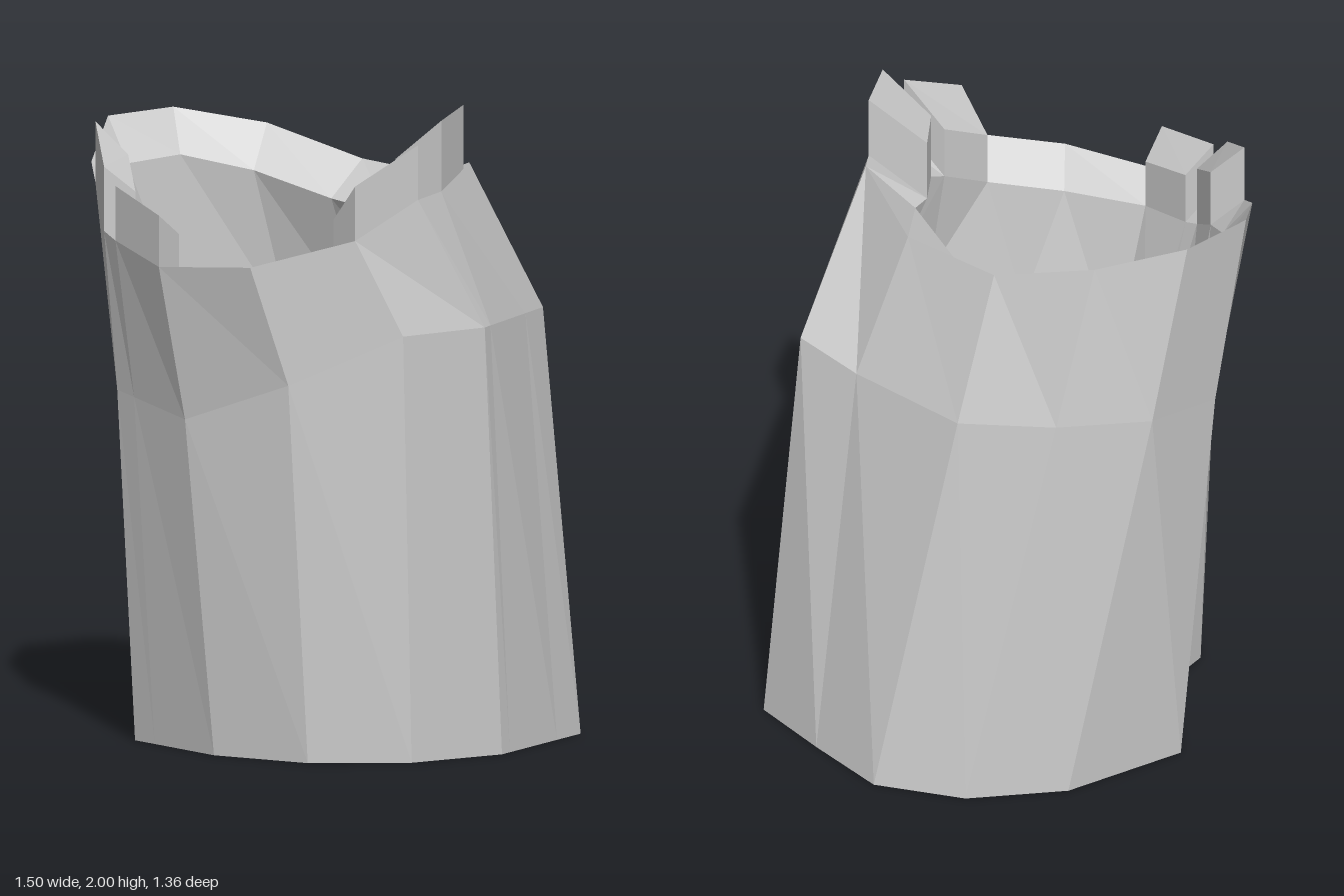
import * as THREE from 'three';

// Thirteen wall columns, clockwise seen from above, starting at the front left.
// Foot of each column: outer x, z, inner x, z
const FOOT = [
  [0.38, 0.5, 0.32, 0.36], [0.07, 0.58, 0.07, 0.45], [-0.25, 0.48, -0.19, 0.38],
  [-0.56, 0.22, -0.37, 0.2], [-0.49, 0.085, -0.4, 0.08], [-0.5, -0.13, -0.43, -0.06],
  [-0.56, -0.34, -0.37, -0.3], [-0.24, -0.6, -0.2, -0.45], [0.07, -0.68, 0.05, -0.55],
  [0.36, -0.63, 0.3, -0.5], [0.56, -0.43, 0.47, -0.33], [0.745, -0.23, 0.58, -0.13],
  [0.61, 0.26, 0.5, 0.15],
];

// Bend of each column, outer side: x, y, z
const BEND = [
  [0.36, 1.33, 0.53], [0.02, 1.18, 0.63], [-0.33, 1.05, 0.53], [-0.6, 1.1, 0.29],
  [-0.61, 1.2, 0.1], [-0.645, 1.2, -0.05], [-0.66, 1.25, -0.28], [-0.49, 1.3, -0.51],
  [-0.2, 1.3, -0.58], [0.11, 1.27, -0.54], [0.45, 1.28, -0.3], [0.635, 1.33, -0.19],
  [0.56, 1.33, 0.28],
];

// Rim: column position, outer point, inner point, then the height of the
// standing fragment there (two heights make a vertical break)
const RIM = [
  { t: 0, out: [0.22, 1.63, 0.58], inn: [0.13, 1.51, 0.49], rise: [0.17, 0] },
  { t: 1, out: [-0.09, 1.55, 0.675], inn: [-0.1, 1.45, 0.56], rise: [0] },
  { t: 2, out: [-0.4, 1.53, 0.585], inn: [-0.36, 1.46, 0.485], rise: [0, 0.16] },
  { t: 2.75, out: [-0.58, 1.58, 0.4], inn: [-0.5, 1.5, 0.34], rise: [0.17, 0] },
  { t: 3, out: [-0.63, 1.6, 0.34], inn: [-0.54, 1.52, 0.3], rise: [0, 0.2] },
  { t: 4, out: [-0.705, 1.72, 0.135], inn: [-0.6, 1.62, 0.14], rise: [0.19, 0] },
  { t: 5, out: [-0.74, 1.77, 0.04], inn: [-0.65, 1.66, 0.03], rise: [0] },
  { t: 6, out: [-0.75, 1.875, -0.23], inn: [-0.67, 1.74, -0.15], rise: [0] },
  { t: 7, out: [-0.59, 1.88, -0.43], inn: [-0.54, 1.75, -0.31], rise: [0] },
  { t: 8, out: [-0.31, 1.83, -0.5], inn: [-0.32, 1.7, -0.365], rise: [0] },
  { t: 9, out: [0.01, 1.74, -0.42], inn: [-0.06, 1.63, -0.3], rise: [0] },
  { t: 10, out: [0.3, 1.73, -0.21], inn: [0.16, 1.61, -0.135], rise: [0] },
  { t: 11, out: [0.46, 1.81, 0.06], inn: [0.31, 1.65, 0.09], rise: [0] },
  { t: 11.3, out: [0.46, 1.8, 0.14], inn: [0.28, 1.65, 0.15], rise: [0, 0.2] },
  { t: 11.9, out: [0.44, 1.76, 0.355], inn: [0.285, 1.63, 0.31], rise: [0.22, 0] },
  { t: 12, out: [0.38, 1.74, 0.415], inn: [0.25, 1.6, 0.365], rise: [0, 0.17] },
];

// Value of a column table at a fractional position
function sample(table, t) {
  const a = table[Math.floor(t) % table.length];
  const b = table[Math.ceil(t) % table.length];
  return a.map((v, i) => THREE.MathUtils.lerp(v, b[i], t % 1));
}

// Closed cross-section of the wall: up the outside, over the rim, down the inside
function section({ t, out, inn }, rise) {
  const [ox, oz, ix, iz] = sample(FOOT, t);
  const [bx, by, bz] = sample(BEND, t);
  const o = new THREE.Vector3(...out);
  const i = new THREE.Vector3(...inn);
  const lift = new THREE.Vector3(0, rise, 0);
  return [
    new THREE.Vector3(ox, 0, oz),
    new THREE.Vector3(bx, by, bz),
    o, o.clone().add(lift), i.clone().add(lift), i,
    new THREE.Vector3(bx + ix - ox, by - 0.1, bz + iz - oz),
    new THREE.Vector3(ix, 0, iz),
  ];
}

// Skin between neighbouring sections for one stretch of the profile
function skin(name, sections, from, to, material) {
  const positions = [];
  const tri = new THREE.Triangle();
  const addTriangle = (a, b, c) => {
    if (tri.set(a, b, c).getArea() < 1e-7) return;
    for (const p of [a, b, c]) positions.push(p.x, p.y, p.z);
  };
  sections.forEach((s, k) => {
    const next = sections[(k + 1) % sections.length];
    for (let j = from; j < to; j++) {
      const j2 = (j + 1) % s.length;
      addTriangle(s[j], s[j2], next[j2]);
      addTriangle(s[j], next[j2], next[j]);
    }
  });
  const geometry = new THREE.BufferGeometry();
  geometry.setAttribute('position', new THREE.Float32BufferAttribute(positions, 3));
  geometry.computeVertexNormals();
  const mesh = new THREE.Mesh(geometry, material);
  mesh.name = name;
  return mesh;
}

export function createModel() {
  const group = new THREE.Group();
  group.name = 'brokenTowerShell';
  const material = new THREE.MeshStandardMaterial({ color: 0xcccccc, flatShading: true });
  const sections = RIM.flatMap((point) => point.rise.map((r) => section(point, r)));
  group.add(
    skin('outerWall', sections, 0, 3, material),
    skin('brokenRim', sections, 3, 4, material),
    skin('innerWall', sections, 4, 7, material),
    skin('footRing', sections, 7, 8, material),
  );
  return group;
}
